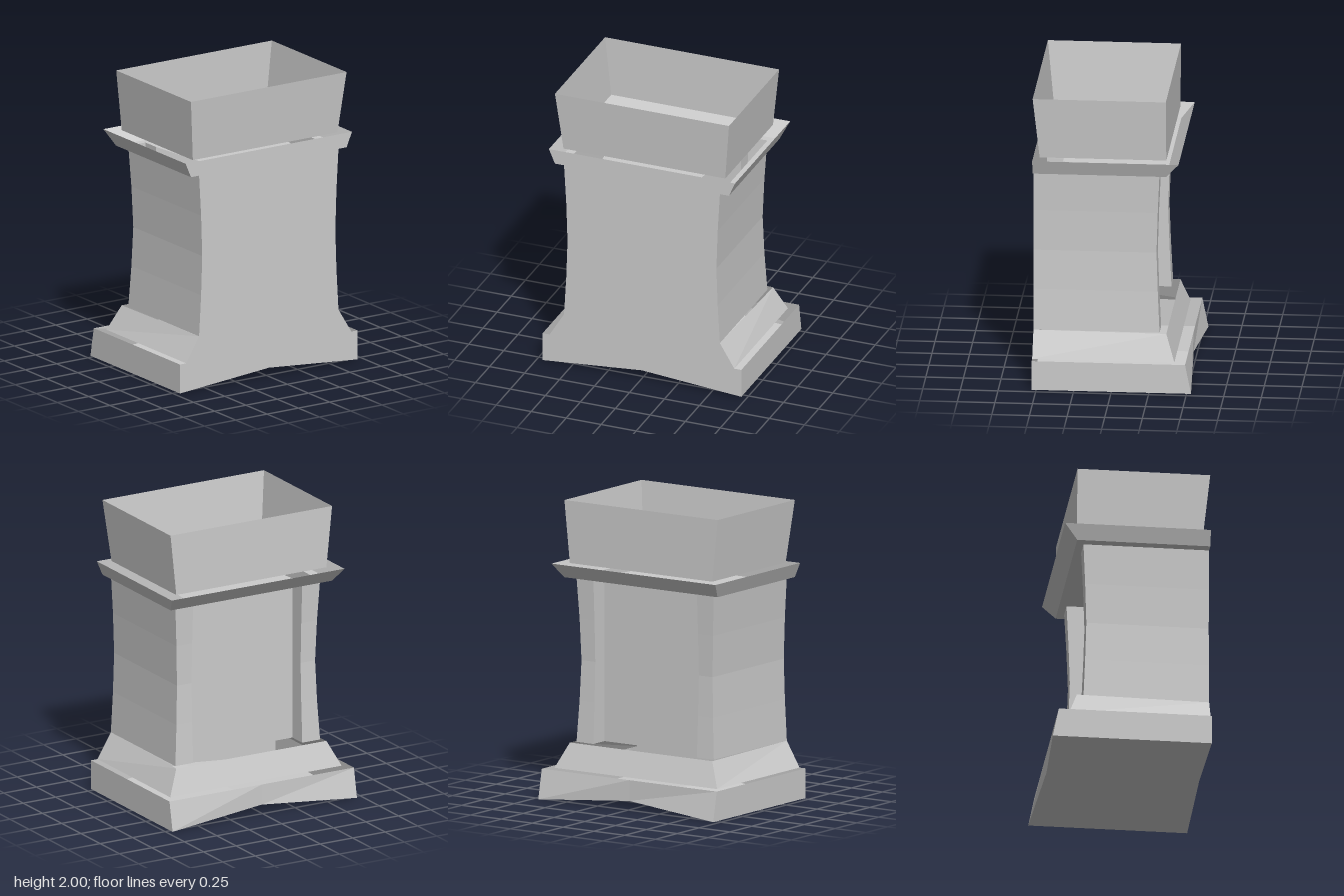
import * as THREE from 'three';

const FRONT = 0.53;
const material = new THREE.MeshStandardMaterial({ color: 0xcccccc, flatShading: true, side: THREE.DoubleSide });

// Skin between rows of [x, y, z] points
function skin(name, rows) {
  const n = rows[0].length, index = [];
  for (let r = 0; r < rows.length - 1; r++) {
    for (let i = 0; i < n - 1; i++) {
      const a = r * n + i, b = a + n;
      index.push(a, a + 1, b + 1, a, b + 1, b);
    }
  }
  let geometry = new THREE.BufferGeometry();
  geometry.setAttribute('position', new THREE.Float32BufferAttribute(rows.flat(2), 3));
  geometry.setIndex(index);
  geometry = geometry.toNonIndexed();
  geometry.computeVertexNormals();
  return named(name, geometry);
}

function named(name, geometry) {
  const mesh = new THREE.Mesh(geometry, material);
  mesh.name = name;
  return mesh;
}

// Append the mirror image of a half outline, in reverse order
const mirrored = (half) => [...half, ...half.map(([x, ...rest]) => [-x, ...rest]).reverse()];

const flat = (points) => new THREE.ShapeGeometry(new THREE.Shape(points.map(([x, y]) => new THREE.Vector2(x, y))));

// Three-sided wall row: one side, the back, the other side
const wallRow = (y, xFront, xBack, zBack) => mirrored([[xFront, y, FRONT], [xBack, y, zBack]]);

export function createModel() {
  const group = new THREE.Group();

  // Waisted body levels: height, half width, back depth
  const levels = [
    [0.37, 0.557, -0.308], [0.65, 0.541, -0.295], [0.92, 0.532, -0.286],
    [1.2, 0.541, -0.295], [1.48, 0.557, -0.308],
  ];

  // Base: open-topped tray with raised middle underneath
  const backBottom = [[0.71, 0, -0.53], [0, 0.06, -0.49], [-0.71, 0, -0.53]];
  group.add(skin('baseWalls', [
    [[0.71, 0, FRONT], ...backBottom, [-0.71, 0, FRONT]],
    [[0.71, 0.2, FRONT], [0.71, 0.2, -0.49], [0, 0.2, -0.49], [-0.71, 0.2, -0.49], [-0.71, 0.2, FRONT]],
  ]));
  group.add(skin('baseFloor', [
    [...backBottom].reverse(),
    [[-0.71, 0, FRONT], [0, 0.06, FRONT], [0.71, 0, FRONT]],
  ]));

  // Sloping skirt above the base
  group.add(skin('skirt', [wallRow(0.2, 0.66, 0.66, -0.415), wallRow(0.37, 0.557, 0.578, -0.355)]));

  // Body sides, rear pillars and recessed rear panel
  group.add(skin('body', levels.map(([y, x, z]) => mirrored([
    [x, y, FRONT], [x, y, z], [0.42, y, z], [0.42, y, -0.18],
  ]))));

  // Flat front running from base to collar
  const front = mirrored([
    [0.71, 0], [0.71, 0.2], [0.66, 0.2],
    ...levels.map(([y, x]) => [x, y]),
    [0.622, 1.48], [0.665, 1.58],
  ]);
  front.push([-0.71, 0], [0, 0.06]);
  const frontMesh = named('frontPanel', flat(front.filter((p, i) => i !== front.length - 2)));
  frontMesh.position.z = FRONT;
  group.add(frontMesh);

  // Collar: flared band and its underside, which reaches in over the recess
  group.add(skin('collar', [wallRow(1.48, 0.622, 0.622, -0.357), wallRow(1.58, 0.665, 0.665, -0.443)]));
  const soffit = mirrored([
    [0.355, 0.35], [0.42, -0.18], [0.42, -0.308], [0.557, -0.308],
    [0.557, FRONT], [0.622, FRONT], [0.622, -0.357],
  ]);
  const soffitMesh = named('collarUnderside', flat(soffit).rotateX(Math.PI / 2));
  soffitMesh.position.y = 1.48;
  group.add(soffitMesh);

  // Crown: flared open box on top
  const ring = (y, x, zFront) => [
    [x, y, zFront], [x, y, -0.355], [-x, y, -0.355], [-x, y, zFront], [x, y, zFront],
  ];
  group.add(skin('crown', [ring(1.58, 0.578, 0.487), ring(2, 0.622, FRONT)]));

  return group;
}
